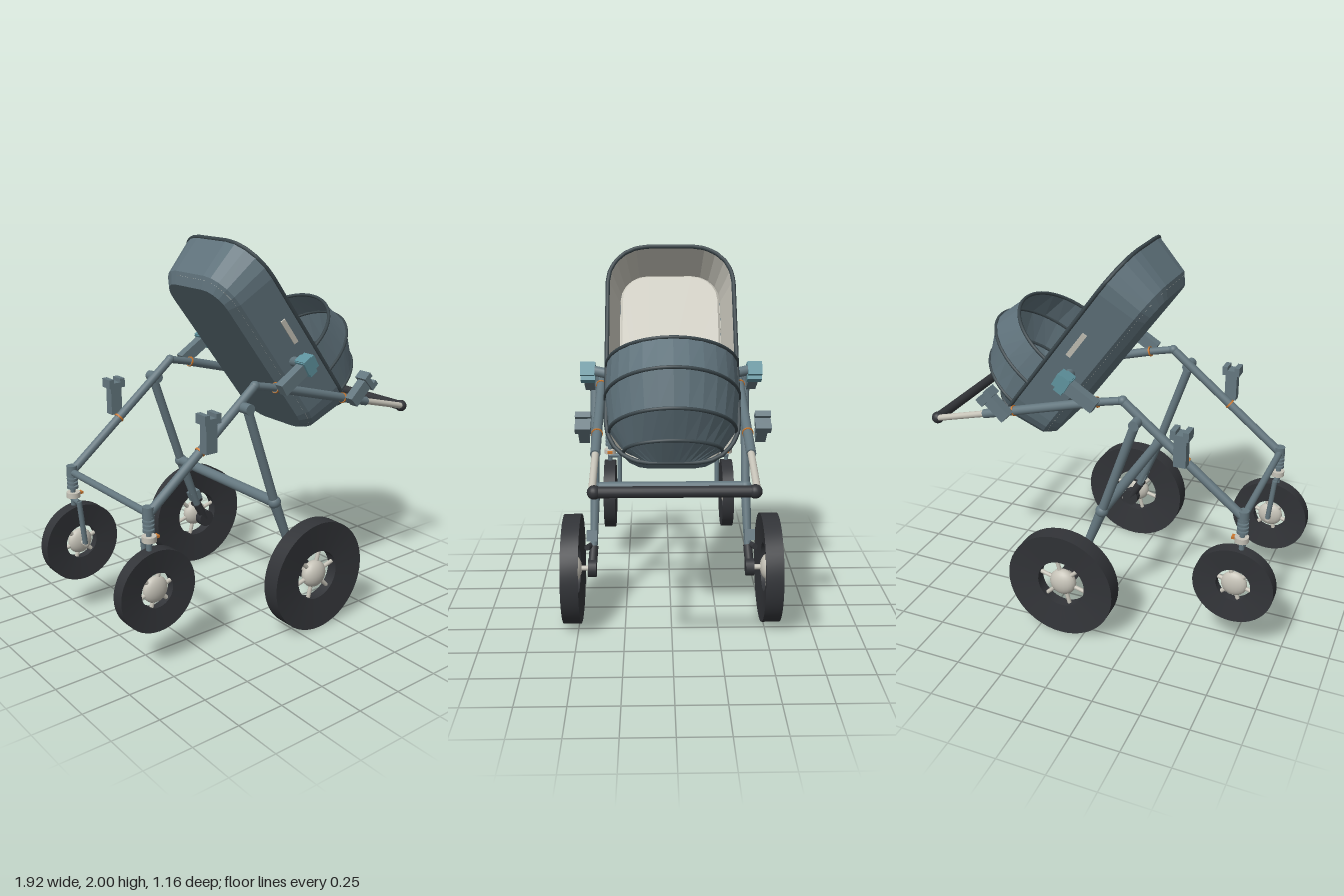
import * as THREE from 'three';
import { toCreasedNormals } from 'three/addons/utils/BufferGeometryUtils.js';

const mat = (name, color, extra = {}) => Object.assign(new THREE.MeshStandardMaterial({ color, ...extra }), { name });
const V = (x, y, z) => new THREE.Vector3(x, y, z);

export function createModel() {
  const frame = mat('slate frame', 0x64777f);
  const fabric = mat('slate fabric', 0x5f727b, { flatShading: true, side: THREE.DoubleSide });
  const trim = mat('dark piping', 0x3a464b);
  const black = mat('black rubber', 0x323438);
  const cream = mat('pale grey', 0xc6c3b8);
  const lining = mat('cream lining', 0xcbc9be, { flatShading: true, side: THREE.DoubleSide });
  const orange = mat('orange accent', 0xc9772f);
  const teal = mat('teal latch', 0x5e929d);

  const model = new THREE.Group();
  model.name = 'stroller';

  const add = (parent, name, geo, material) => {
    const m = new THREE.Mesh(geo, material);
    m.name = name;
    parent.add(m);
    return m;
  };
  // Straight round bar between two points
  const bar = (parent, name, a, b, r, material, r2 = r) => {
    const d = b.clone().sub(a);
    const m = add(parent, name, new THREE.CylinderGeometry(r2, r, d.length(), 16), material);
    m.position.copy(a).addScaledVector(d, 0.5);
    m.quaternion.setFromUnitVectors(V(0, 1, 0), d.normalize());
    return m;
  };
  const ball = (parent, name, p, r, material) => {
    const m = add(parent, name, new THREE.SphereGeometry(r, 20, 14), material);
    m.position.copy(p);
    return m;
  };
  const box = (parent, name, size, p, material, rz = 0) => {
    const m = add(parent, name, new THREE.BoxGeometry(...size), material);
    m.position.set(...p);
    m.rotation.z = rz;
    return m;
  };
  // Skin through equal-length rings of points; optional cap on the last ring
  const loft = (rings, closed, cap) => {
    const n = rings[0].length, pos = [], idx = [];
    rings.forEach(r => r.forEach(p => pos.push(p.x, p.y, p.z)));
    const last = closed ? n : n - 1;
    for (let k = 0; k < rings.length - 1; k++)
      for (let i = 0; i < last; i++) {
        const a = k * n + i, b = k * n + (i + 1) % n;
        idx.push(a, a + n, b, b, a + n, b + n);
      }
    if (cap) {
      const base = (rings.length - 1) * n;
      for (let i = 1; i < n - 1; i++) idx.push(base, base + i + 1, base + i);
    }
    const g = new THREE.BufferGeometry();
    g.setAttribute('position', new THREE.Float32BufferAttribute(pos, 3));
    g.setIndex(idx);
    g.computeVertexNormals();
    return g;
  };

  // ---- Carrycot, built lengthwise along x and then tilted ----
  const cot = new THREE.Group();
  cot.name = 'carrycot';
  cot.position.set(-0.13, 1.995, 0);
  cot.rotation.z = -Math.atan2(0.8, 0.6);
  model.add(cot);

  const outline = (inset, y) => {
    const pts = [], L = 1.19, W = 0.325, r = 0.21 - inset;
    for (let c = 0; c < 4; c++)
      for (let i = 0; i <= 5; i++) {
        const t = (c + i / 5) * Math.PI / 2;
        const cx = c === 0 || c === 3 ? L - 0.21 : 0.21;
        const cz = c < 2 ? W - 0.21 : 0.21 - W;
        pts.push(V(cx + r * Math.cos(t), y, cz + r * Math.sin(t)));
      }
    return pts;
  };
  add(cot, 'tub', loft([outline(0, 0), outline(0.045, -0.21), outline(0.094, -0.258)], true, true), fabric);
  add(cot, 'tubLining', loft([outline(0.01, 0.002), outline(0.055, -0.2), outline(0.06, -0.225)], true, true), lining);
  add(cot, 'mattress', loft([outline(0.062, -0.222), outline(0.064, -0.2), outline(0.075, -0.19)], true, true), lining);
  const rim = new THREE.CatmullRomCurve3(outline(0.004, 0), true, 'catmullrom', 0);
  add(cot, 'rimPiping', new THREE.TubeGeometry(rim, 120, 0.011, 8, true), trim);

  // Hood: arches growing then closing toward the foot, piped at each rib
  const arches = [[0.685, 0.322, 0.325], [0.86, 0.326, 0.378], [1.03, 0.305, 0.305], [1.128, 0.235, 0.15], [1.188, 0.12, 0.01]]
    .map(([x, w, h]) => Array.from({ length: 15 }, (_, i) => {
      const t = Math.PI * i / 14;
      return V(x, h * Math.sin(t), w * Math.cos(t));
    }));
  add(cot, 'hood', loft(arches, false, false), fabric);
  arches.slice(0, 4).forEach(a =>
    add(cot, 'hoodRib', new THREE.TubeGeometry(new THREE.CatmullRomCurve3(a), 40, 0.009, 8), trim));
  for (const s of [1, -1]) box(cot, 'sideTab', [0.155, 0.026, 0.008], [0.51, -0.075, s * 0.313], cream).rotation.x = s * 0.21;

  // ---- Wheel: dished tyre, flattened hub and spokes ----
  const wheel = (name, x, y, z, R, inner, w, hub) => {
    const g = new THREE.Group();
    g.name = name;
    g.position.set(x, y, z);
    const p = [[R, -w], [R, w], [inner, w * 0.62], [inner, -w * 0.62], [R, -w]].map(q => new THREE.Vector2(...q));
    const tyre = toCreasedNormals(new THREE.LatheGeometry(p, 48), 0.6);
    tyre.rotateX(Math.PI / 2);
    add(g, 'tyre', tyre, black);
    ball(g, 'hub', V(0, 0, 0), hub, cream).scale.z = Math.min(1, w / hub);
    for (let i = 0; i < 6; i++) {
      const t = (i + 0.25) * Math.PI / 3;
      bar(g, 'spoke', V(0, 0, 0), V(Math.cos(t) * (inner + 0.01), Math.sin(t) * (inner + 0.01), 0), 0.011, cream);
    }
    model.add(g);
  };

  // ---- Parts repeated on both sides ----
  for (const s of [1, -1]) {
    const P = (x, y, z) => V(x, y, s * z);
    wheel('rearWheel', 0.12, 0.295, s * 0.531, 0.295, 0.132, 0.047, 0.073);
    wheel('frontWheel', -0.755, 0.41, s * 0.363, 0.21, 0.09, 0.034, 0.068);

    // Upper chassis tubes and push bar
    const f0 = P(-0.775, 0.81, 0.365), top = P(-0.15, 1.315, 0.365);
    const mid = P(-0.02, 1.285, 0.365), h1 = P(0.63, 1.105, 0.365), h2 = P(0.92, 1.028, 0.365);
    bar(model, 'frontLeg', f0, top, 0.023, frame);
    ball(model, 'frontLegJoint', top, 0.025, frame);
    bar(model, 'hingeLink', top, mid, 0.02, frame);
    bar(model, 'pushBar', mid, h1, 0.024, frame);
    bar(model, 'pushBarExtension', h1, h2, 0.017, cream);
    ball(model, 'gripEnd', P(0.927, 1.025, 0.355), 0.032, black);

    // Orange collars around the tubes
    const collar = (a, b, t) => bar(model, 'collar', a.clone().lerp(b, t), a.clone().lerp(b, t + 0.012), 0.028, orange);
    collar(f0, top, 0.46);
    collar(mid, h1, 0.0);
    collar(mid, h1, 0.72);

    // Rear leg with hinge, knee and brake
    const knee = P(-0.055, 0.7, 0.413), foot = P(0.06, 0.4, 0.42);
    bar(model, 'rearLeg', P(-0.235, 1.225, 0.413), knee, 0.024, frame);
    bar(model, 'rearLegHinge', P(-0.235, 1.225, 0.35), P(-0.235, 1.225, 0.44), 0.027, frame);
    ball(model, 'kneeJoint', knee, 0.034, frame);
    bar(model, 'lowerRearLeg', knee, foot, 0.028, frame, 0.02);
    box(model, 'brakeClamp', [0.06, 0.06, 0.055], [0.05, 0.455, s * 0.43], frame, 0.37);
    bar(model, 'brakeArm', foot, P(0.12, 0.295, 0.428), 0.024, black);
    bar(model, 'brakeDrum', P(0.12, 0.295, 0.405), P(0.12, 0.295, 0.45), 0.048, black);
    bar(model, 'brakePedal', P(0.04, 0.4, 0.43), P(0.11, 0.41, 0.455), 0.016, black);
    bar(model, 'rearAxle', P(0.12, 0.295, 0.43), P(0.12, 0.295, 0.53), 0.014, cream);

    // Front suspension and swivel fork
    bar(model, 'suspensionCap', P(-0.782, 0.79, 0.362), P(-0.782, 0.84, 0.362), 0.028, frame);
    bar(model, 'suspensionCore', P(-0.782, 0.62, 0.362), P(-0.782, 0.8, 0.362), 0.014, frame);
    for (let i = 0; i < 4; i++) {
      const y = 0.715 + i * 0.022;
      bar(model, 'springCoil', P(-0.782, y, 0.362), P(-0.782, y + 0.013, 0.362), 0.029, frame);
    }
    bar(model, 'swivelCollar', P(-0.78, 0.665, 0.362), P(-0.78, 0.693, 0.362), 0.036, cream);
    box(model, 'swivelLock', [0.025, 0.012, 0.03], [-0.742, 0.682, s * 0.362], orange);
    bar(model, 'forkShoulder', P(-0.78, 0.65, 0.37), P(-0.78, 0.65, 0.305), 0.014, frame);
    bar(model, 'forkArm', P(-0.78, 0.655, 0.305), P(-0.755, 0.41, 0.305), 0.014, frame);
    bar(model, 'frontAxle', P(-0.755, 0.41, 0.295), P(-0.755, 0.41, 0.363), 0.014, cream);

    // Forked socket: a post with a wide head and two prongs
    const socket = (name, x, y, angle, len, headMat) => {
      const g = new THREE.Group();
      g.name = name;
      g.position.set(x, y, s * 0.423);
      g.rotation.z = angle;
      box(g, 'post', [0.064, len, 0.05], [0, len / 2, 0], frame);
      box(g, 'head', [0.094, 0.028, 0.074], [0, len + 0.01, 0], headMat);
      for (const k of [1, -1]) box(g, 'prong', [0.028, 0.022, 0.074], [k * 0.033, len + 0.033, 0], headMat);
      model.add(g);
    };
    socket('frontSocket', -0.475, 1.055, 0, 0.15, frame);
    socket('cotSocket', -0.03, 1.285, -1.02, 0.17, teal);
    socket('rearSocket', 0.46, 1.14, -0.82, 0.13, frame);
    box(model, 'cotLatch', [0.075, 0.07, 0.072], [0.135, 1.395, s * 0.425], teal, 0.55);
    bar(model, 'cotMount', P(0.16, 1.38, 0.3), P(0.13, 1.395, 0.4), 0.026, frame);
  }

  // ---- Cross members ----
  bar(model, 'rearCrossbar', V(-0.055, 0.7, -0.41), V(-0.055, 0.7, 0.41), 0.028, frame);
  bar(model, 'frontCrossbar', V(-0.782, 0.805, -0.36), V(-0.782, 0.805, 0.36), 0.018, frame);
  bar(model, 'handleGrip', V(0.927, 1.025, -0.35), V(0.927, 1.025, 0.35), 0.026, black);
  return model;
}
